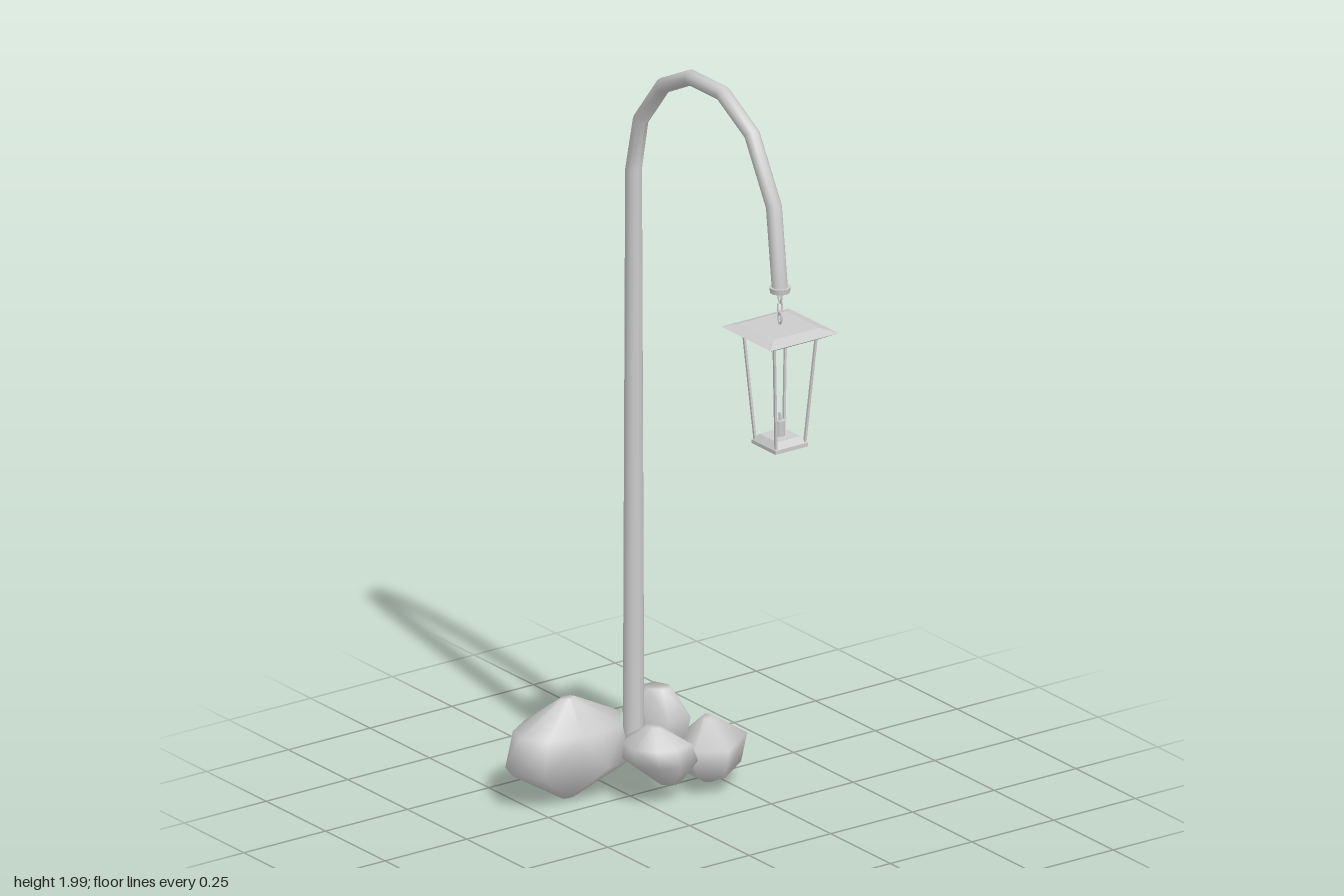
import * as THREE from 'three';
import { ConvexGeometry } from 'three/addons/geometries/ConvexGeometry.js';
import { mergeVertices } from 'three/addons/utils/BufferGeometryUtils.js';

const smooth = new THREE.MeshStandardMaterial({ color: 0xcccccc });
const flat = new THREE.MeshStandardMaterial({ color: 0xcccccc, flatShading: true });

function add(parent, name, geometry, material, x = 0, y = 0, z = 0) {
  const mesh = new THREE.Mesh(geometry, material);
  mesh.name = name;
  mesh.position.set(x, y, z);
  parent.add(mesh);
  return mesh;
}

// Square frustum between two heights, given by half widths
function frustum(parent, name, bottomHalf, topHalf, y0, y1) {
  const g = new THREE.CylinderGeometry(topHalf * Math.SQRT2, bottomHalf * Math.SQRT2, y1 - y0, 4);
  g.rotateY(Math.PI / 4);
  return add(parent, name, g, flat, 0, (y0 + y1) / 2, 0);
}

// Square bar between two points
function bar(parent, name, a, b, width) {
  const d = b.clone().sub(a);
  const m = add(parent, name, new THREE.BoxGeometry(width, d.length(), width), flat);
  m.position.copy(a).add(b).multiplyScalar(0.5);
  m.quaternion.setFromUnitVectors(new THREE.Vector3(0, 1, 0), d.normalize());
}

// Cylinder bent along a path of [z, y, radius]
function bentPole(path) {
  const n = path.length - 1;
  const g = new THREE.CylinderGeometry(1, 1, n, 12, n);
  const pos = g.attributes.position;
  for (let i = 0; i < pos.count; i++) {
    const row = Math.round(pos.getY(i) + n / 2);
    const p = path[row], a = path[Math.max(row - 1, 0)], b = path[Math.min(row + 1, n)];
    const t = new THREE.Vector2(b[0] - a[0], b[1] - a[1]).normalize();
    const side = pos.getZ(i) * p[2];
    pos.setXYZ(i, pos.getX(i) * p[2], p[1] - t.x * side, p[0] + t.y * side);
  }
  g.computeVertexNormals();
  return g;
}

// Boulder: a plan outline of [x, z] repeated at levels of [y, scale], wrapped in a hull
function boulder(outline, levels) {
  const cx = outline.reduce((s, p) => s + p[0], 0) / outline.length;
  const cz = outline.reduce((s, p) => s + p[1], 0) / outline.length;
  const points = [];
  for (const [y, s, dx = 0] of levels)
    for (const [x, z] of outline)
      points.push(new THREE.Vector3(cx + dx + (x - cx) * s, y, cz + (z - cz) * s));
  const g = new ConvexGeometry(points);
  g.deleteAttribute('normal');
  const merged = mergeVertices(g, 1e-4);
  merged.computeVertexNormals();
  return merged;
}

export function createModel() {
  const group = new THREE.Group();
  group.name = 'lampPost';

  // Pole and hooked arm
  const path = [
    [-0.27, 0.1, 0.027], [-0.27, 1.66, 0.021], [-0.24, 1.8, 0.02], [-0.145, 1.92, 0.02],
    [-0.03, 1.978, 0.02], [0.105, 1.978, 0.02], [0.228, 1.908, 0.02], [0.32, 1.745, 0.02],
    [0.345, 1.535, 0.02],
  ];
  add(group, 'pole', bentPole(path), smooth, 0.025, 0, 0);

  // Hanging lantern
  const lantern = new THREE.Group();
  lantern.name = 'lantern';
  lantern.position.set(0.026, 0, 0.344);
  group.add(lantern);

  add(lantern, 'armCollar', new THREE.CylinderGeometry(0.027, 0.025, 0.014, 16), flat, 0, 1.533, 0);
  [1.514, 1.486, 1.457].forEach((y, i) => {
    const link = add(lantern, 'chainLink', new THREE.TorusGeometry(0.007, 0.0022, 6, 12), smooth, 0, y, 0);
    link.scale.y = 2;
    link.rotation.y = i % 2 ? 0 : Math.PI / 2;
  });

  frustum(lantern, 'roofTop', 0.104, 0.07, 1.425, 1.437);
  frustum(lantern, 'roofUnderside', 0.068, 0.104, 1.406, 1.425);
  for (const sx of [-1, 1]) for (const sz of [-1, 1])
    bar(lantern, 'cornerBar', new THREE.Vector3(sx * 0.044, 1.13, sz * 0.044),
      new THREE.Vector3(sx * 0.064, 1.41, sz * 0.064), 0.006);
  frustum(lantern, 'basePlate', 0.05, 0.05, 1.12, 1.13);
  frustum(lantern, 'baseStep', 0.048, 0.036, 1.13, 1.146);
  add(lantern, 'candle', new THREE.CylinderGeometry(0.013, 0.013, 0.042, 10), smooth, 0, 1.165, 0);
  add(lantern, 'wick', new THREE.CylinderGeometry(0.003, 0.004, 0.022, 6), smooth, 0, 1.195, 0);

  // Boulders around the foot
  const rocks = new THREE.Group();
  rocks.name = 'boulders';
  group.add(rocks);
  add(rocks, 'largeBoulder', boulder(
    [[-0.3, -0.33], [-0.28, -0.39], [-0.2, -0.44], [-0.09, -0.45], [0, -0.42], [0.055, -0.355],
      [0, -0.25], [-0.08, -0.235], [-0.15, -0.235], [-0.25, -0.265]],
    [[0.005, 0.1], [0.1, 1], [0.195, 0.88], [0.268, 0.12]]), smooth);
  add(rocks, 'frontBoulder', boulder(
    [[-0.05, -0.16], [-0.04, -0.23], [0, -0.265], [0.06, -0.255], [0.1, -0.2], [0.105, -0.105],
      [0.04, -0.09], [-0.01, -0.11]],
    [[0.05, 0.3, 0.035], [0.12, 0.98], [0.165, 0.9, -0.008], [0.21, 0.2, -0.01]]), smooth);
  add(rocks, 'backBoulder', boulder(
    [[0.035, -0.28], [0.055, -0.36], [0.135, -0.35], [0.175, -0.27], [0.16, -0.215], [0.09, -0.21]],
    [[0.06, 0.25], [0.12, 0.85], [0.19, 1], [0.262, 0.42]]), smooth);
  add(rocks, 'sideBoulder', boulder(
    [[0.115, -0.14], [0.12, -0.205], [0.17, -0.265], [0.23, -0.3], [0.295, -0.27], [0.3, -0.17],
      [0.185, -0.09]],
    [[0.015, 0.15], [0.055, 0.85], [0.13, 1], [0.185, 0.15]]), smooth);

  return group;
}
